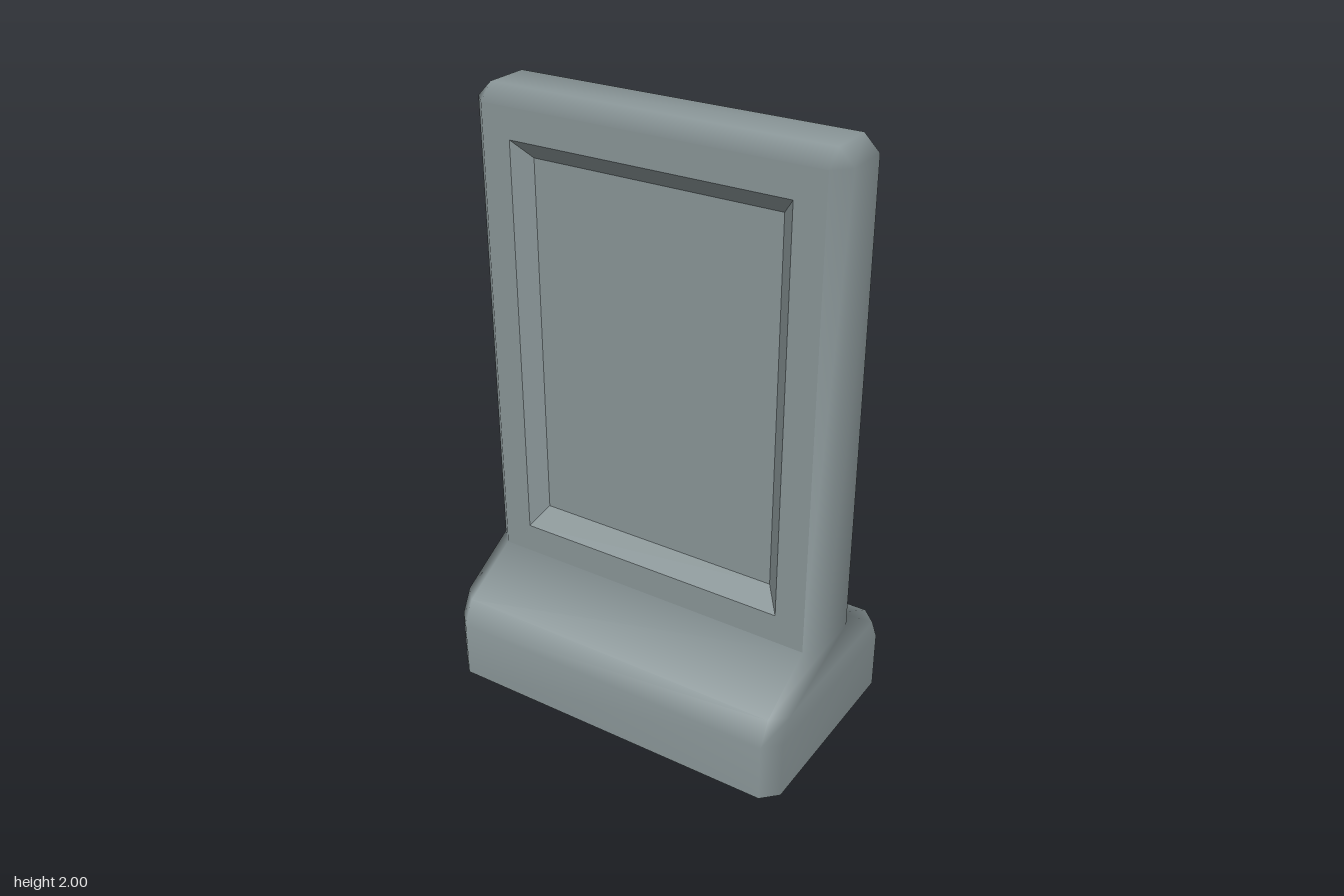
import * as THREE from 'three';
import { mergeVertices } from 'three/addons/utils/BufferGeometryUtils.js';

const HX = 0.625;   // half width
const C = 0.05;     // chamfer size

// Chamfered rectangular ring, counter-clockwise seen from above
function ring(y, hx, hz, c) {
  const w = hx - c, e = hz - c;
  return [[-w, hz], [w, hz], [hx, e], [hx, -e], [w, -hz], [-w, -hz], [-hx, -e], [-hx, e]]
    .map(([x, z]) => [x, y, z]);
}

function makeGeometry(points, index) {
  const g = new THREE.BufferGeometry();
  g.setAttribute('position', new THREE.Float32BufferAttribute(points.flat(), 3));
  g.setIndex(index);
  return g;
}

// Plinth and slab lofted as one smooth shell, left open where the frames sit
function shellGeometry() {
  const rings = [
    ring(0, HX, 0.375, C),
    ring(0.2, HX, 0.375, C),
    ring(0.28, HX, 0.335, C),
    ring(0.4, HX, 0.125, C),
    ring(1.95, HX, 0.125, C),
    ring(2, HX - C, 0.075, 0),
  ];
  const body = [], panels = [];
  for (let i = 0; i < rings.length - 1; i++) {
    for (let j = 0; j < 8; j++) {
      const k = (j + 1) % 8;
      const a = i * 8 + j, b = i * 8 + k, c = b + 8, d = a + 8;
      const target = i === 3 && j % 4 === 0 ? panels : body;
      target.push(a, b, c, a, c, d);
    }
  }
  const top = (rings.length - 1) * 8;
  body.push(top, top + 1, top + 4, top, top + 4, top + 5);
  // Normals take the panels into account, then the panels are cut away
  const g = mergeVertices(makeGeometry(rings.flat(), [...body, ...panels]), 1e-4);
  g.computeVertexNormals();
  g.setIndex(Array.from(g.index.array).slice(0, body.length));
  return g;
}

// Flat strip between two nested rectangles [halfWidth, bottom, top, z]
function borderGeometry(outer, inner) {
  const corners = ([w, b, t, z]) => [[-w, b, z], [w, b, z], [w, t, z], [-w, t, z]];
  const points = [...corners(outer), ...corners(inner)];
  const index = [];
  for (let j = 0; j < 4; j++) {
    const k = (j + 1) % 4;
    index.push(j, k, k + 4, j, k + 4, j + 4);
  }
  const g = makeGeometry(points, index).toNonIndexed();
  g.computeVertexNormals();
  return g;
}

export function createModel() {
  const model = new THREE.Group();
  model.name = 'standingSign';
  const grey = new THREE.MeshStandardMaterial({ color: 0x8a9698 });
  grey.name = 'blueGrey';

  const add = (parent, name, geometry) => {
    const mesh = new THREE.Mesh(geometry, grey);
    mesh.name = name;
    parent.add(mesh);
    return mesh;
  };

  add(model, 'plinthAndSlab', shellGeometry());

  // Underside
  const base = ring(0, HX, 0.375, C);
  const fan = [];
  for (let j = 1; j < 7; j++) fan.push(0, j + 1, j);
  const under = makeGeometry(base, fan);
  under.computeVertexNormals();
  add(model, 'underside', under);

  // Frame, bevel and recessed panel, the same on front and back
  const edge = [HX - C, 0.4, 1.95, 0.125];
  const opening = [0.475, 0.5, 1.85, 0.125];
  const recess = [0.425, 0.57, 1.79, 0.075];
  for (const [name, turn] of [['frontFace', 0], ['backFace', Math.PI]]) {
    const face = new THREE.Group();
    face.name = name;
    face.rotation.y = turn;
    add(face, 'frame', borderGeometry(edge, opening));
    add(face, 'bevel', borderGeometry(opening, recess));
    const [w, b, t, z] = recess;
    add(face, 'recessedPanel', new THREE.PlaneGeometry(w * 2, t - b)).position.set(0, (b + t) / 2, z);
    model.add(face);
  }
  return model;
}
